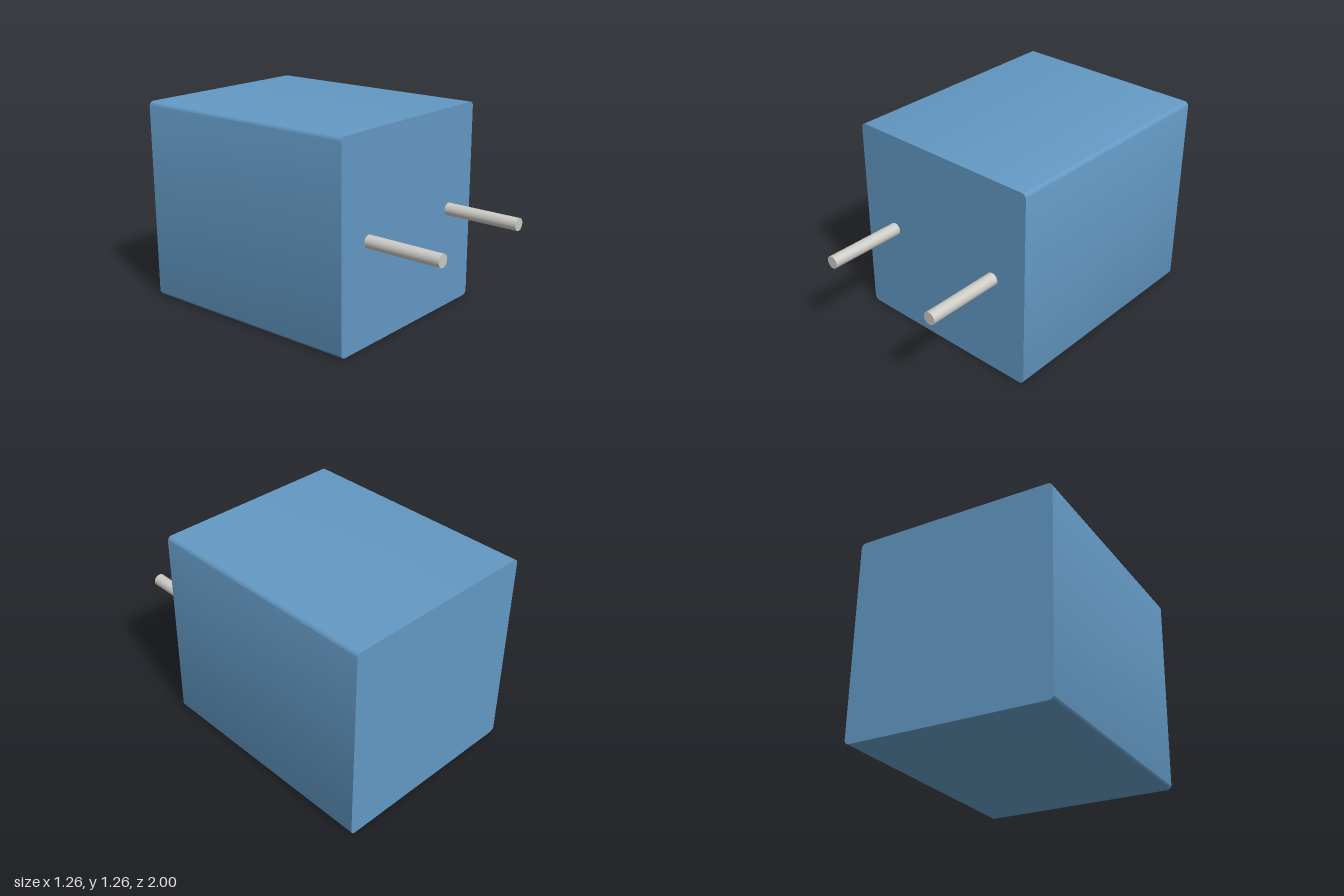
import * as THREE from 'three';
import { toCreasedNormals } from 'three/addons/utils/BufferGeometryUtils.js';

const SIZE = 1.26, RADIUS = 0.03;
const BACK = -1, FACE = 0.51, TIP = 1;
const PIN_X = 0.393, PIN_RADIUS = 0.039;

// Square outline with rounded corners, centred on the origin
function roundedSquare(size, r) {
  const h = size / 2, shape = new THREE.Shape();
  for (let i = 0; i < 4; i++) {
    const a = i * Math.PI / 2;
    const sx = i === 0 || i === 3 ? 1 : -1, sy = i < 2 ? 1 : -1;
    shape.absarc(sx * (h - r), sy * (h - r), r, a, a + Math.PI / 2, false);
  }
  shape.closePath();
  return shape;
}

export function createModel() {
  const group = new THREE.Group();
  const bodyMaterial = new THREE.MeshStandardMaterial({ color: 0x6399c4 });
  const pinMaterial = new THREE.MeshStandardMaterial({ color: 0xcccac4 });

  // Block with rounded long edges and sharp end faces
  const block = new THREE.ExtrudeGeometry(roundedSquare(SIZE, RADIUS), {
    depth: FACE - BACK, bevelEnabled: false, curveSegments: 8,
  });
  const body = new THREE.Mesh(toCreasedNormals(block, Math.PI / 6), bodyMaterial);
  body.name = 'body';
  body.position.set(0, SIZE / 2, BACK);
  group.add(body);

  // Two round pins standing out of the front face
  const pinGeometry = new THREE.CylinderGeometry(PIN_RADIUS, PIN_RADIUS, TIP - FACE, 40);
  pinGeometry.rotateX(Math.PI / 2);
  for (const side of [1, -1]) {
    const pin = new THREE.Mesh(pinGeometry, pinMaterial);
    pin.name = side > 0 ? 'leftPin' : 'rightPin';
    pin.position.set(side * PIN_X, SIZE / 2, (FACE + TIP) / 2);
    group.add(pin);
  }
  return group;
}
